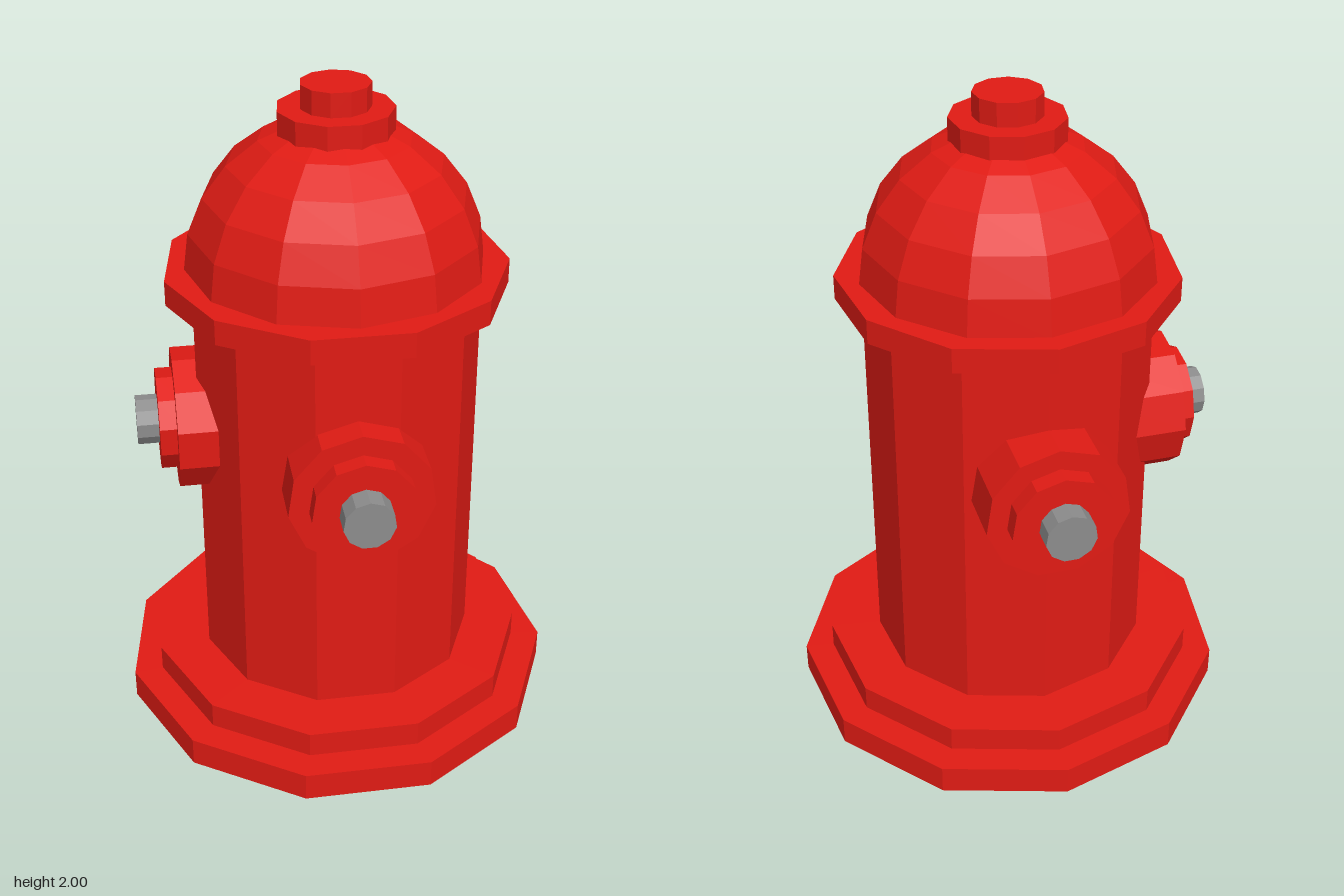
import * as THREE from 'three';

const red = new THREE.MeshStandardMaterial({ color: 0xe01b14, flatShading: true });
const grey = new THREE.MeshStandardMaterial({ color: 0x8c8c8c, flatShading: true });
const SIDES = 11;

// Upright faceted drum between y0 and y1, one corner pointing to -z
function drum(name, radius, y0, y1, material = red) {
  const geo = new THREE.CylinderGeometry(radius, radius, y1 - y0, SIDES, 1, false, Math.PI);
  geo.translate(0, (y0 + y1) / 2, 0);
  const mesh = new THREE.Mesh(geo, material);
  mesh.name = name;
  return mesh;
}

// Outlet built along +y: wide collar, cap, grey bolt
function outlet(name, collarEnd, capEnd, boltEnd) {
  const g = new THREE.Group();
  g.name = name;
  g.add(
    drum('outletCollar', 0.213, 0.25, collarEnd),
    drum('outletCap', 0.153, collarEnd - 0.02, capEnd),
    drum('outletBolt', 0.075, capEnd - 0.02, boltEnd, grey)
  );
  return g;
}

export function createModel() {
  const model = new THREE.Group();
  model.name = 'fireHydrant';

  // Column: stepped base, barrel, rim, top nut
  const column = new THREE.Group();
  column.name = 'column';
  column.position.z = 0.011;
  column.add(
    drum('basePlate', 0.676, 0, 0.09),
    drum('baseStep', 0.586, 0.09, 0.17),
    drum('barrel', 0.428, 0.17, 1.4),
    drum('rim', 0.506, 1.39, 1.465),
    drum('topCollar', 0.168, 1.82, 1.93),
    drum('topNut', 0.101, 1.93, 2)
  );

  // Domed bonnet
  const dome = new THREE.Mesh(
    new THREE.SphereGeometry(0.44, 12, 6, 0, Math.PI * 2, 0, Math.PI / 2), red);
  dome.name = 'bonnet';
  dome.position.y = 1.46;
  column.add(dome);
  model.add(column);

  // Outlets at the front, back and right
  const front = outlet('frontOutlet', 0.505, 0.558, 0.627);
  front.position.y = 0.948;
  front.rotation.x = Math.PI / 2;

  const back = outlet('backOutlet', 0.525, 0.58, 0.645);
  back.position.y = 0.948;
  back.rotation.set(Math.PI / 2, Math.PI, 0, 'YXZ');

  const right = outlet('rightOutlet', 0.49, 0.54, 0.605);
  right.position.set(0, 0.96, -0.02);
  right.rotation.z = Math.PI / 2;

  model.add(front, back, right);
  return model;
}
